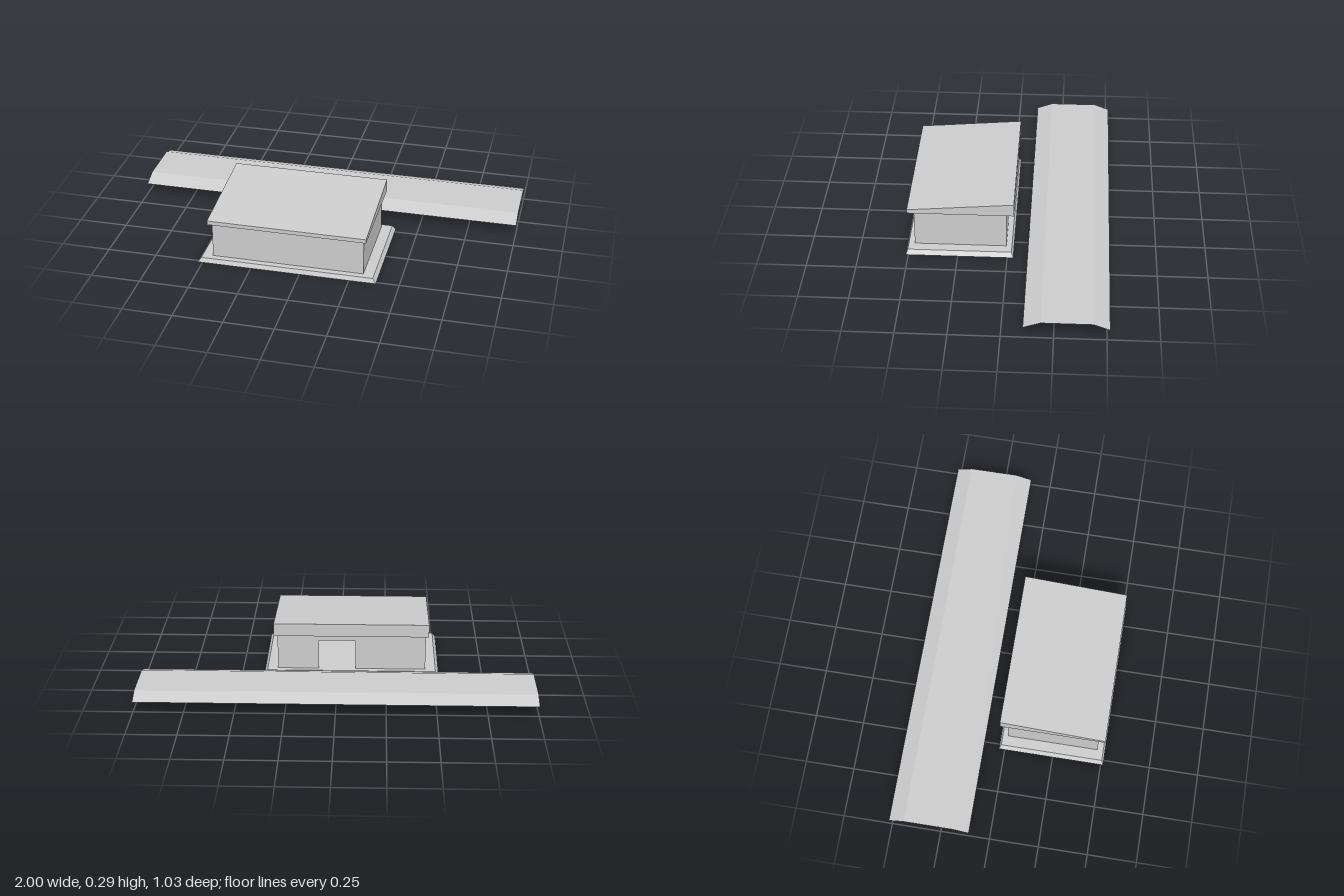
import * as THREE from 'three';

const material = new THREE.MeshStandardMaterial({ color: 0xcccccc, flatShading: true, side: THREE.DoubleSide });

// Centre of the building in plan
const CX = -0.07, CZ = 0.24;

function addMesh(group, name, geometry) {
  const mesh = new THREE.Mesh(geometry, material);
  mesh.name = name;
  group.add(mesh);
  return mesh;
}

// Box spanning x0..x1, y0..y1, z0..z1, with an optional rule for its top corners
function block([x0, x1], [y0, y1], [z0, z1], moveTop) {
  const geometry = new THREE.BoxGeometry(x1 - x0, y1 - y0, z1 - z0);
  geometry.translate((x0 + x1) / 2, (y0 + y1) / 2, (z0 + z1) / 2);
  const p = geometry.attributes.position;
  const v = new THREE.Vector3();
  for (let i = 0; moveTop && i < p.count; i++) {
    v.fromBufferAttribute(p, i);
    if (v.y > (y0 + y1) / 2) {
      moveTop(v);
      p.setXYZ(i, v.x, v.y, v.z);
    }
  }
  geometry.computeVertexNormals();
  return geometry;
}

// Thin wall outline in its own plane, from u0..u1 and the wall's y range
function wallShape(u0, u1) {
  const shape = new THREE.Shape();
  shape.moveTo(u0, 0.022).lineTo(u1, 0.022).lineTo(u1, 0.219).lineTo(u0, 0.219).closePath();
  return shape;
}

export function createModel() {
  const group = new THREE.Group();
  group.name = 'shelterAndEmbankment';

  // Base slab with bevelled sides
  addMesh(group, 'baseSlab', block([-0.525, 0.385], [0, 0.023], [-0.031, 0.513], (v) => {
    v.x -= Math.sign(v.x - CX) * 0.017;
    v.z -= Math.sign(v.z - CZ) * 0.01;
  }));

  // Hollow walls as thin sheets: plain front and sides
  const [x0, x1, z0, z1] = [-0.455, 0.315, 0.007, 0.472];
  addMesh(group, 'frontWall', new THREE.ShapeGeometry(wallShape(x0, x1))).position.z = z1;
  for (const [name, x] of [['rightWall', x0], ['leftWall', x1]]) {
    const wall = addMesh(group, name, new THREE.ShapeGeometry(wallShape(-z1, -z0)));
    wall.rotation.y = Math.PI / 2;
    wall.position.x = x;
  }

  // Back wall with an open doorway, outline running around the opening
  const back = new THREE.Shape();
  back.moveTo(x0, 0.022).lineTo(-0.09, 0.022).lineTo(-0.09, 0.18).lineTo(0.1, 0.18)
    .lineTo(0.1, 0.022).lineTo(x1, 0.022).lineTo(x1, 0.219).lineTo(x0, 0.219).closePath();
  const backWall = addMesh(group, 'backWall', new THREE.ShapeGeometry(back).scale(-1, 1, 1));
  backWall.rotation.y = Math.PI;
  backWall.position.z = z0;

  // Overhanging roof, sloping down to the front
  addMesh(group, 'roof', block([-0.47, 0.332], [0.219, 0.286], [-0.031, 0.505], (v) => {
    if (v.z > CZ) v.y = 0.24;
  }));

  // Embankment: an open folded sheet running the full width
  const profile = [[-0.105, 0.058], [-0.188, 0.088], [-0.435, 0.088], [-0.513, 0.058]];
  const positions = [];
  for (let i = 0; i < profile.length - 1; i++) {
    const [za, ya] = profile[i], [zb, yb] = profile[i + 1];
    positions.push(-1, ya, za, 1, ya, za, 1, yb, zb, -1, ya, za, 1, yb, zb, -1, yb, zb);
  }
  const sheet = new THREE.BufferGeometry();
  sheet.setAttribute('position', new THREE.Float32BufferAttribute(positions, 3));
  sheet.computeVertexNormals();
  addMesh(group, 'embankment', sheet);

  return group;
}
